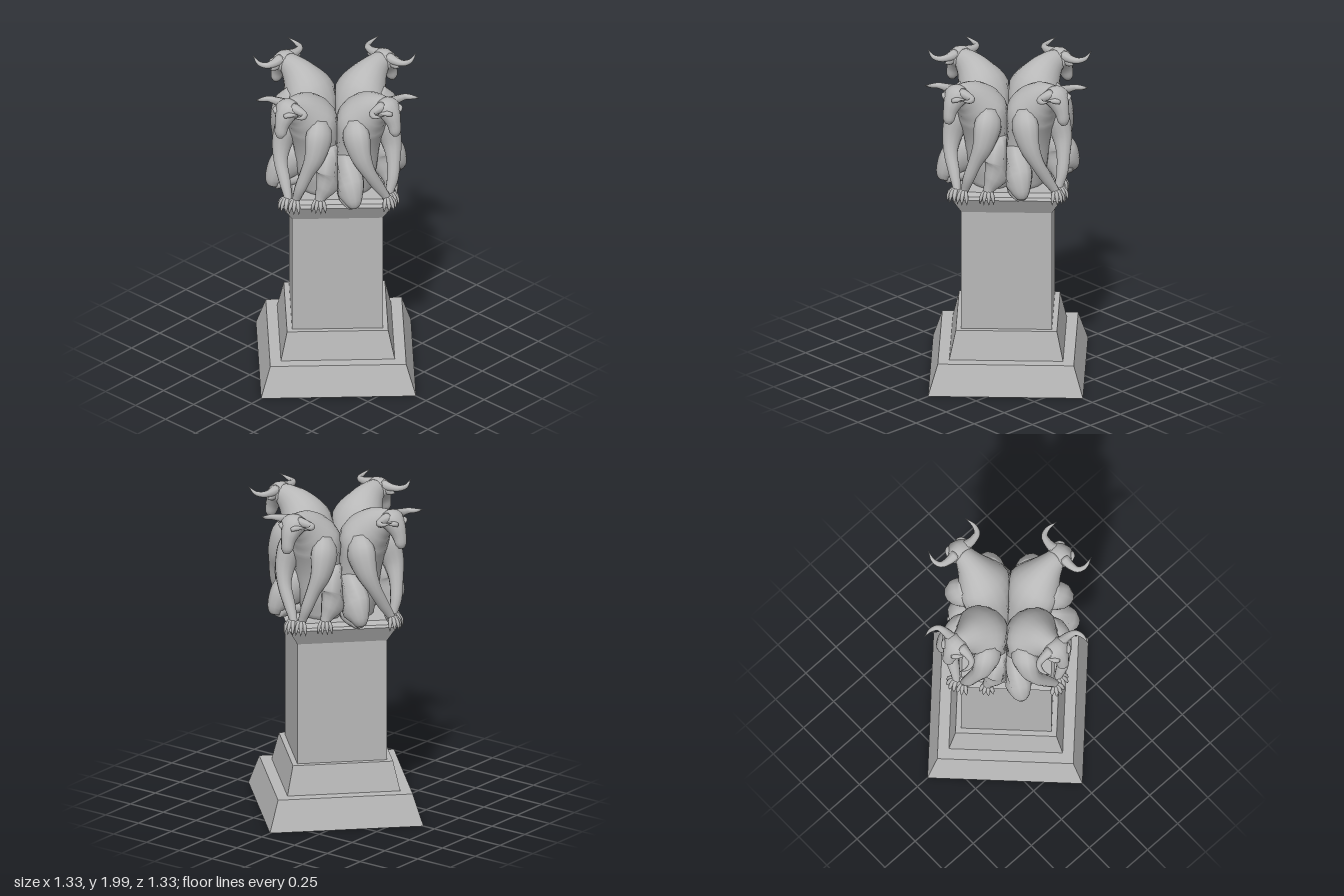
import * as THREE from 'three';

const stone = new THREE.MeshStandardMaterial({ color: 0xb8b8b8, side: THREE.DoubleSide });
stone.name = 'grey stone';

const AX = new THREE.Vector3(1, 0, 0);
const AY = new THREE.Vector3(0, 1, 0);

// Smooth closed loft through stations [x, y, z, halfWidth, halfDepth].
// Vertices stay inside the quarter wedge |x| <= z and above the floor height.
function loft(stations, { ref = AX, sides = 12, steps = 4, floor = 0 } = {}) {
  const path = new THREE.CatmullRomCurve3(stations.map(s => new THREE.Vector3(s[0], s[1], s[2])));
  const size = new THREE.CatmullRomCurve3(stations.map((s, i) => new THREE.Vector3(s[3], s[4], i)));
  const rings = (stations.length - 1) * steps;
  const pos = [], index = [];
  const put = p => {
    const z = Math.max(p.z, 0.005);
    pos.push(THREE.MathUtils.clamp(p.x, -z, z), Math.max(p.y, floor), z);
  };
  for (let i = 0; i <= rings; i++) {
    const t = i / rings, c = path.getPoint(t), r = size.getPoint(t), d = path.getTangent(t);
    const s = ref.clone().addScaledVector(d, -ref.dot(d)).normalize();
    const u = d.clone().cross(s);
    for (let j = 0; j < sides; j++) {
      const a = j / sides * Math.PI * 2;
      put(c.clone().addScaledVector(s, Math.cos(a) * r.x).addScaledVector(u, Math.sin(a) * r.y));
      if (i < rings) {
        const k = (j + 1) % sides, b = i * sides, n = b + sides;
        index.push(b + j, b + k, n + j, b + k, n + k, n + j);
      }
    }
  }
  // end caps
  put(path.getPoint(0));
  put(path.getPoint(1));
  const start = (rings + 1) * sides, last = rings * sides;
  for (let j = 0; j < sides; j++) {
    const k = (j + 1) % sides;
    index.push(start, k, j, start + 1, last + j, last + k);
  }
  const g = new THREE.BufferGeometry();
  g.setAttribute('position', new THREE.Float32BufferAttribute(pos, 3));
  g.setIndex(index);
  g.computeVertexNormals();
  return g;
}

function add(group, name, geometry) {
  const m = new THREE.Mesh(geometry, stone);
  m.name = name;
  group.add(m);
  return m;
}

// Palm with four hooked claws, pointing along yaw
function clawedFoot(name, x, z, yaw) {
  const foot = new THREE.Group();
  foot.name = name;
  const at = (angle, r, y, w) => [x + Math.sin(angle) * r, y, z + Math.cos(angle) * r, w, w];
  for (let i = 0; i < 4; i++) {
    const a = yaw + (i - 1.5) * 0.55;
    add(foot, 'claw', loft([
      at(a, -0.01, 1.3, 0.018), at(a, 0.03, 1.295, 0.014), at(a, 0.05, 1.265, 0.012), at(a, 0.058, 1.225, 0.001),
    ], { sides: 6, steps: 2 }));
  }
  return foot;
}

function crouchingBeast() {
  const g = new THREE.Group();
  g.name = 'crouchingBeast';

  add(g, 'torso', loft([
    [0, 1.26, 0.15, 0.12, 0.1], [0, 1.4, 0.15, 0.15, 0.13], [0, 1.6, 0.17, 0.16, 0.14],
    [0, 1.77, 0.22, 0.17, 0.15], [0, 1.86, 0.3, 0.115, 0.12], [0, 1.905, 0.37, 0.075, 0.085],
    [0, 1.925, 0.42, 0.06, 0.06],
  ], { sides: 18, floor: 1.26 }));

  // head bent down towards the muzzle
  add(g, 'head', loft([
    [0, 1.955, 0.38, 0.045, 0.035], [0, 1.93, 0.42, 0.085, 0.065], [0, 1.89, 0.455, 0.065, 0.06],
    [0, 1.835, 0.482, 0.044, 0.045], [0, 1.785, 0.495, 0.038, 0.034], [0, 1.758, 0.5, 0.02, 0.018],
  ], { sides: 12, steps: 3 }));

  for (const s of [-1, 1]) {
    add(g, 'horn', loft([
      [s * 0.04, 1.95, 0.425, 0.032, 0.035], [s * 0.1, 1.945, 0.425, 0.024, 0.026],
      [s * 0.15, 1.945, 0.44, 0.019, 0.019], [s * 0.168, 1.95, 0.485, 0.013, 0.013],
      [s * 0.155, 1.975, 0.548, 0.001, 0.001],
    ], { ref: AY, sides: 8 }));
    add(g, 'ear', loft([
      [s * 0.05, 1.93, 0.42, 0.025, 0.02], [s * 0.09, 1.92, 0.415, 0.025, 0.012],
      [s * 0.135, 1.915, 0.42, 0.002, 0.002],
    ], { ref: AY, sides: 8, steps: 3 }));
    add(g, 'browRidge', loft([
      [s * 0.03, 1.915, 0.49, 0.014, 0.02], [s * 0.055, 1.925, 0.475, 0.016, 0.022],
      [s * 0.078, 1.92, 0.44, 0.008, 0.008],
    ], { ref: AY, sides: 8, steps: 2 }));

    // both forelegs converge on the corner
    const hx = s < 0 ? -0.005 : 0.045, hz = s < 0 ? 0.425 : 0.405;
    add(g, 'foreleg', loft([
      [s * 0.1, 1.81, 0.25, 0.05, 0.06], [s * 0.125, 1.72, 0.285, 0.075, 0.095],
      [s * 0.135, 1.6, 0.335, 0.058, 0.072], [s * 0.11, 1.5, 0.375, 0.042, 0.046],
      [s * 0.05 + hx * 0.6, 1.39, 0.4, 0.036, 0.036], [hx, 1.3, hz, 0.025, 0.024],
      [hx, 1.275, hz + 0.015, 0.03, 0.02],
    ]));
    g.add(clawedFoot('forefoot', hx, hz, s * 0.25));
  }

  // left hind leg squats on its foot
  add(g, 'leftHindLeg', loft([
    [0.12, 1.63, 0.18, 0.03, 0.04], [0.15, 1.56, 0.19, 0.085, 0.115], [0.165, 1.45, 0.21, 0.085, 0.135],
    [0.16, 1.37, 0.265, 0.06, 0.075], [0.15, 1.31, 0.3, 0.034, 0.036], [0.15, 1.27, 0.31, 0.035, 0.03],
  ], { floor: 1.26 }));
  g.add(clawedFoot('leftHindFoot', 0.145, 0.3, 0.6));

  // right hind leg kneels, knee over the edge
  add(g, 'rightThigh', loft([
    [-0.09, 1.52, 0.13, 0.06, 0.07], [-0.14, 1.46, 0.2, 0.095, 0.13], [-0.185, 1.39, 0.285, 0.085, 0.11],
    [-0.205, 1.32, 0.335, 0.055, 0.06], [-0.205, 1.28, 0.345, 0.03, 0.03],
  ], { floor: 1.25 }));
  add(g, 'rightShin', loft([
    [-0.2, 1.3, 0.33, 0.05, 0.045], [-0.17, 1.3, 0.25, 0.05, 0.045], [-0.11, 1.29, 0.14, 0.03, 0.03],
  ], { floor: 1.26 }));
  return g;
}

export function createModel() {
  const model = new THREE.Group();
  model.name = 'monument';

  // square stepped pedestal, hollow and open below, corners on the axes
  const profile = [
    [0.667, 0], [0.585, 0.19], [0.49, 0.19], [0.435, 0.37], [0.39, 0.37], [0.39, 1.14],
    [0.465, 1.24], [0.41, 1.245], [0.385, 1.27], [0, 1.27],
  ].map(p => new THREE.Vector2(p[0], p[1]));
  const pedestal = new THREE.LatheGeometry(profile, 4).toNonIndexed();
  pedestal.computeVertexNormals();
  add(model, 'pedestal', pedestal);

  // four beasts, back to back
  const beast = crouchingBeast();
  for (let i = 0; i < 4; i++) {
    const b = beast.clone();
    b.rotation.y = i * Math.PI / 2;
    model.add(b);
  }
  return model;
}
